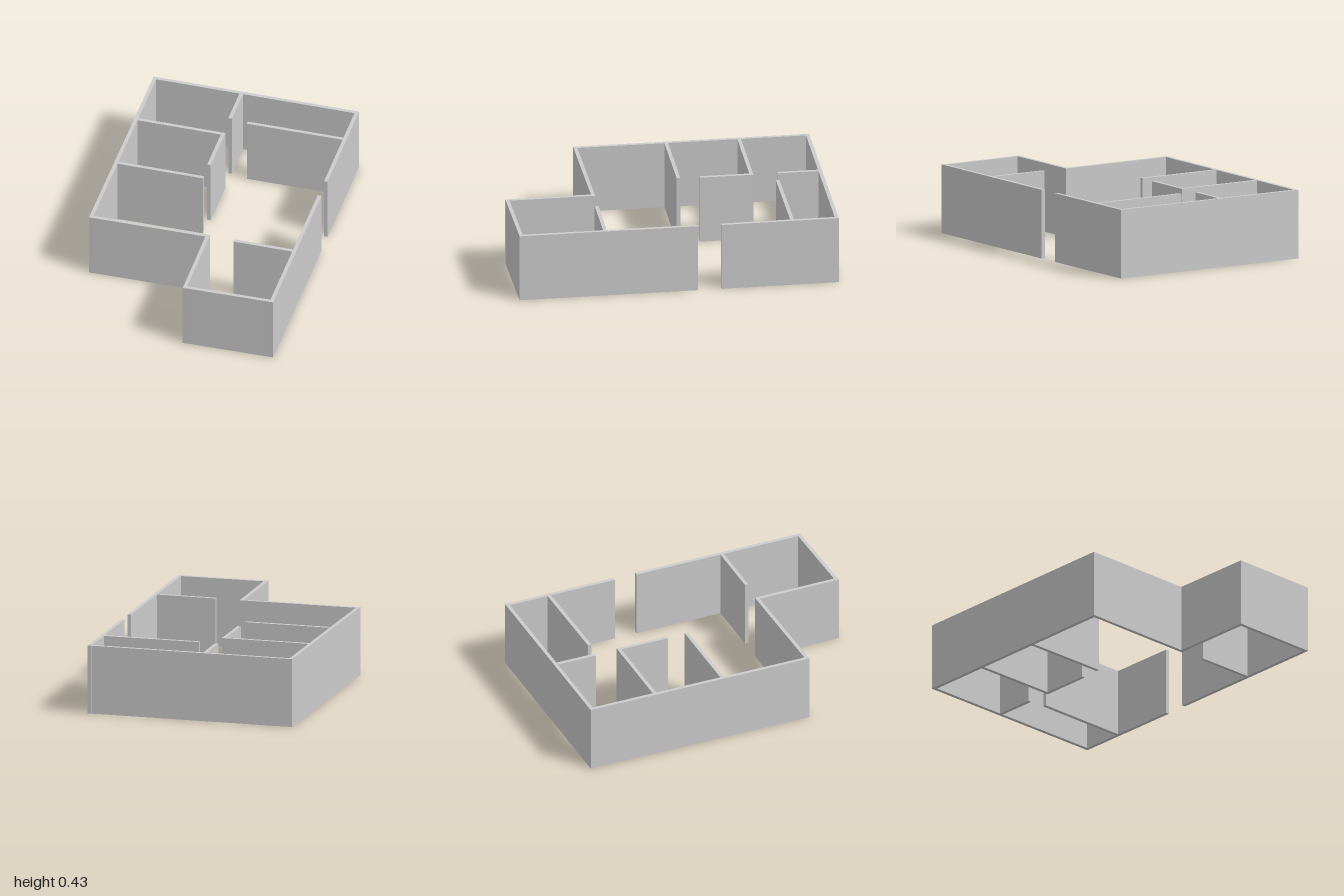
import * as THREE from 'three';

const HEIGHT = 0.43;
const THICKNESS = 0.023;

// Centre lines on the floor plan: name, start x, z, end x, z
const WALLS = [
  ['backWall', -0.66, -0.986, 0.652, -0.988],
  ['leftWall', -0.65, -0.997, -0.653, 0.473],
  ['rightWallBack', 0.642, -1, 0.646, -0.268],
  ['rightWallFront', 0.646, -0.122, 0.648, 0.99],
  ['frontWall', -0.664, 0.461, 0.103, 0.453],
  ['annexSideWall', 0.091, 0.442, 0.095, 1],
  ['annexFrontWall', 0.084, 0.987, 0.66, 0.978],
  ['annexPartition', 0.26, 0.455, 0.646, 0.455],
  ['backRoomPartition', -0.094, -0.986, -0.094, -0.72],
  ['rightRoomPartition', 0.02, -0.707, 0.643, -0.711],
  ['leftRoomPartition', -0.65, -0.559, -0.083, -0.559],
  ['leftRoomReturn', -0.094, -0.57, -0.094, -0.235],
  ['middlePartition', -0.65, -0.105, -0.094, -0.105],
];

// Extrude one footprint upwards; ends stay square to the main axis
function buildWall([name, x0, z0, x1, z1], material) {
  const alongX = Math.abs(x1 - x0) > Math.abs(z1 - z0);
  const dx = alongX ? 0 : THICKNESS / 2;
  const dz = alongX ? THICKNESS / 2 : 0;
  const footprint = new THREE.Shape([
    new THREE.Vector2(x0 - dx, -(z0 - dz)),
    new THREE.Vector2(x1 - dx, -(z1 - dz)),
    new THREE.Vector2(x1 + dx, -(z1 + dz)),
    new THREE.Vector2(x0 + dx, -(z0 + dz)),
  ]);
  const geometry = new THREE.ExtrudeGeometry(footprint, { depth: HEIGHT, bevelEnabled: false });
  geometry.rotateX(-Math.PI / 2);
  const mesh = new THREE.Mesh(geometry, material);
  mesh.name = name;
  return mesh;
}

export function createModel() {
  const group = new THREE.Group();
  group.name = 'floorPlanWalls';
  const material = new THREE.MeshStandardMaterial({ color: 0xcccccc, flatShading: true });
  for (const wall of WALLS) group.add(buildWall(wall, material));
  return group;
}
